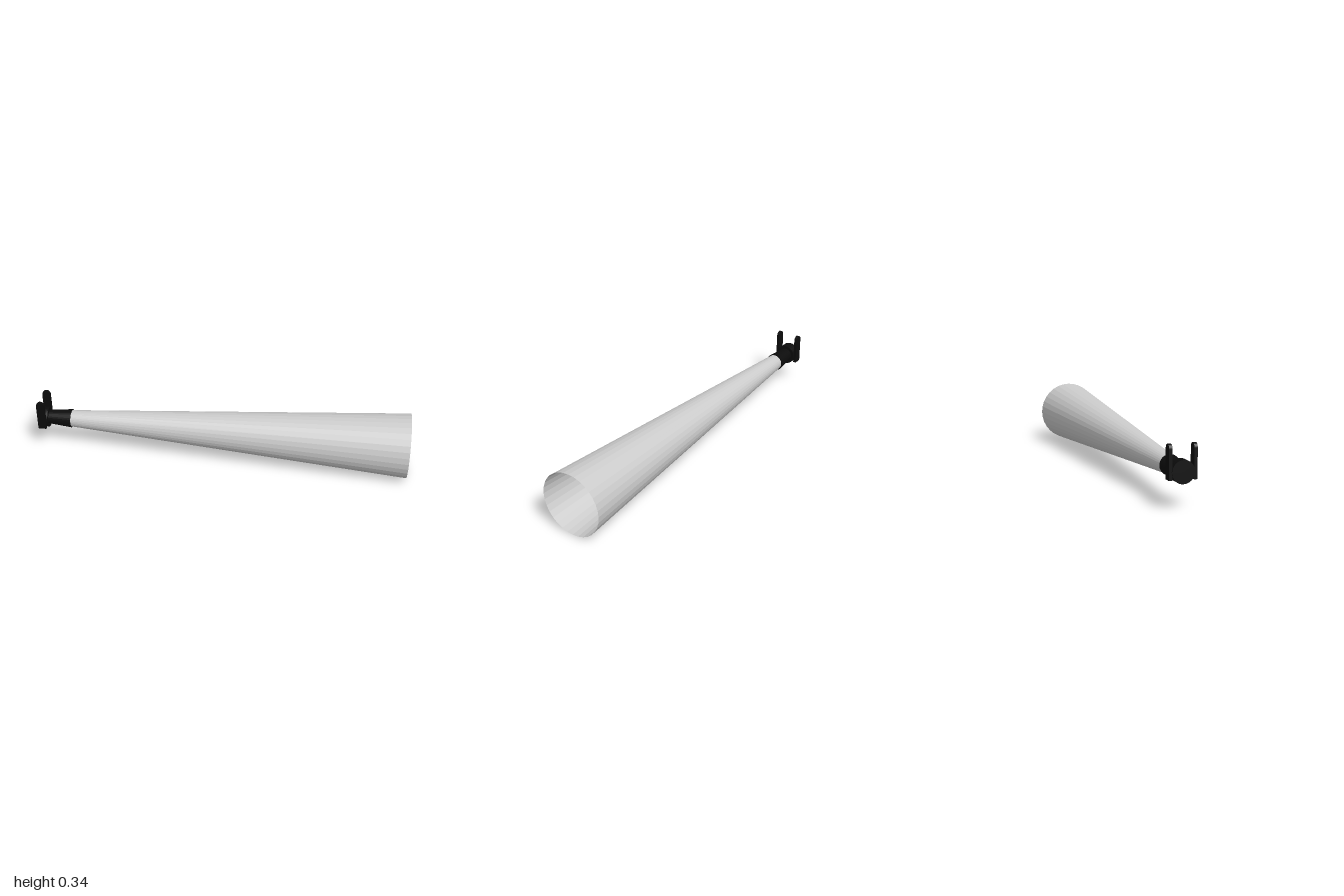
import * as THREE from 'three';

const CY = 0.172; // height of the long axis
const SIDES = 32;

export function createModel() {
  const model = new THREE.Group();
  const grey = new THREE.MeshStandardMaterial({ color: 0xcccccc, flatShading: true, side: THREE.DoubleSide });
  const black = new THREE.MeshStandardMaterial({ color: 0x0c0c0c, flatShading: true });

  const add = (name, geometry, material) => {
    const mesh = new THREE.Mesh(geometry, material);
    mesh.name = name;
    model.add(mesh);
    return mesh;
  };

  // Tapered tube along x, from x0 (radius r0) to x1 (radius r1)
  const taper = (x0, r0, x1, r1, open = false) =>
    new THREE.CylinderGeometry(r1, r0, x1 - x0, SIDES, 1, open)
      .rotateZ(-Math.PI / 2)
      .translate((x0 + x1) / 2, CY, 0);

  // Open light cone, wide end at +x
  add('beam', taper(-0.82, 0.045, 1, 0.171, true), grey);

  // Lens disc closing the narrow end
  add('lens', new THREE.CircleGeometry(0.045, SIDES).rotateY(Math.PI / 2).translate(-0.818, CY, 0), grey);

  // Lamp housing and round rear body
  add('housing', taper(-0.95, 0.037, -0.82, 0.05), black);
  add('rearBody', taper(-1, 0.055, -0.946, 0.055), black);

  // Upright arms with rounded tops, one each side of the rear body
  const w = 0.022, bottom = 0.135, top = 0.3;
  const outline = new THREE.Shape();
  outline.moveTo(-w, bottom);
  outline.lineTo(w, bottom);
  outline.lineTo(w, top - w);
  outline.absarc(0, top - w, w, 0, Math.PI, false);
  outline.lineTo(-w, bottom);
  const armGeometry = new THREE.ExtrudeGeometry(outline, { depth: 0.016, bevelEnabled: false, curveSegments: 8 });
  armGeometry.translate(-0.973, 0, -0.008);
  for (const side of [1, -1]) {
    add(side > 0 ? 'frontArm' : 'backArm', armGeometry, black).position.z = side * 0.06;
  }

  return model;
}
